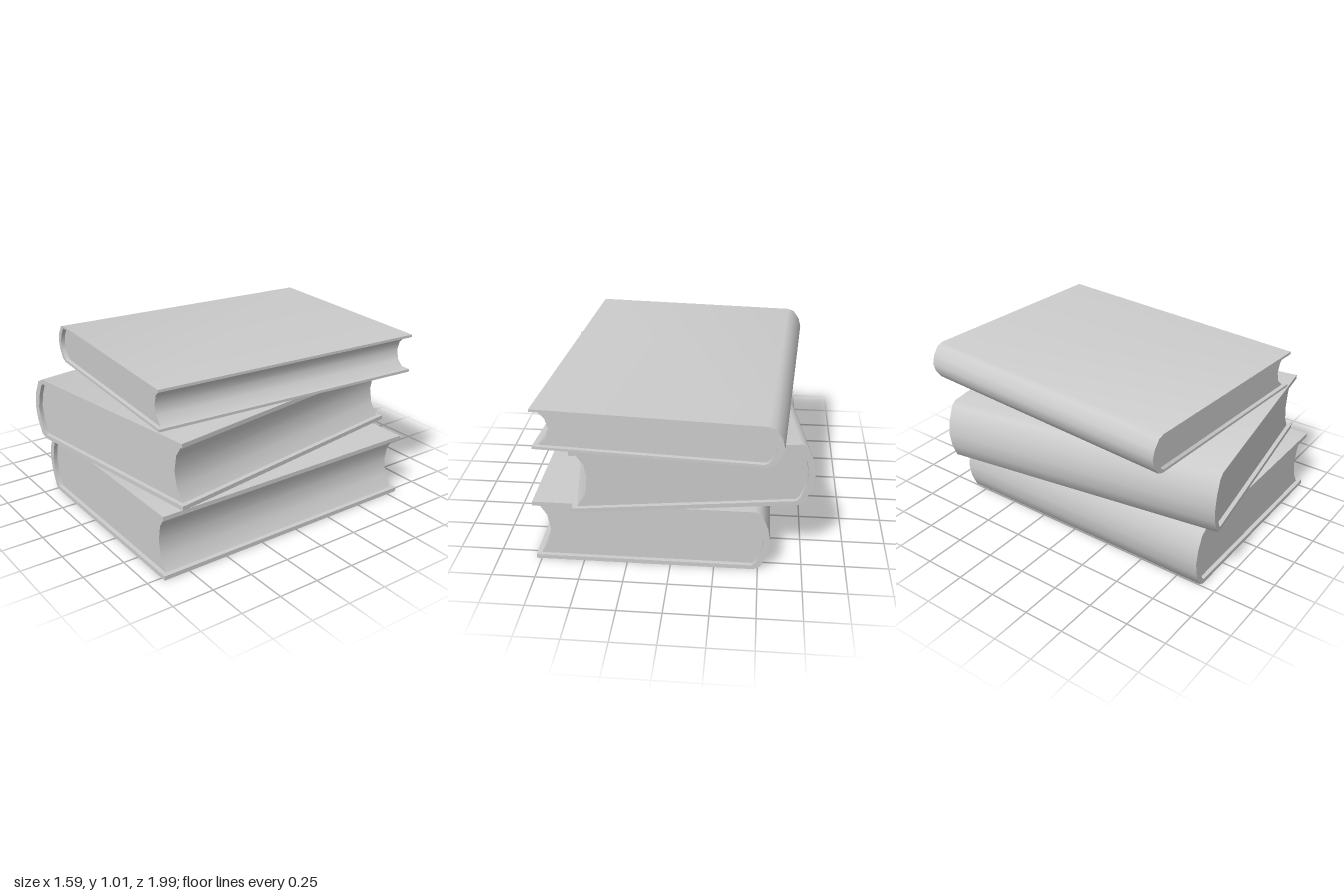
import * as THREE from 'three';
import { toCreasedNormals } from 'three/addons/utils/BufferGeometryUtils.js';

const HALF_WIDTH = 0.6725, BOOK_HEIGHT = 0.387;

// Upper halves of the curves, as [x, height above the book's mid plane]
const spineOuter = [[-0.585, 0.1935], [-0.622, 0.172], [-0.658, 0.088], [-0.6725, 0]];
const spineInner = [[-0.575, 0.168], [-0.594, 0.148], [-0.622, 0.078], [-0.636, 0]];
const foreEdge = [[0.645, 0.168], [0.598, 0.093], [0.582, 0]];

// Mirror a half curve downwards, giving the full curve from top to bottom
const fullCurve = (half) => [...half, ...half.slice(0, -1).reverse().map(([x, y]) => [x, -y])];

// Extrude an outline, centred on z, smooth along its curves
function extrude(points, depth) {
  const shape = new THREE.Shape(points.map(([x, y]) => new THREE.Vector2(x, y)));
  const geometry = new THREE.ExtrudeGeometry(shape, { depth, bevelEnabled: false });
  geometry.translate(0, 0, -depth / 2);
  return geometry;
}

function createBook(name, { x, z, bottom, height, depth, turn }) {
  const book = new THREE.Group();
  book.name = name;
  const material = new THREE.MeshStandardMaterial({ color: 0xcccccc });
  const add = (part, outline, length) => {
    const geometry = extrude(outline, length);
    geometry.scale(1, height / BOOK_HEIGHT, 1);
    const mesh = new THREE.Mesh(toCreasedNormals(geometry, 0.8), material);
    mesh.name = part;
    book.add(mesh);
  };

  // Two boards joined by a rounded spine
  add('cover', [
    [HALF_WIDTH, 0.1935], ...fullCurve(spineOuter), [HALF_WIDTH, -0.1935],
    [HALF_WIDTH, -0.168], ...fullCurve(spineInner).reverse(), [HALF_WIDTH, 0.168],
  ], depth);

  // Page block with a hollow fore edge, set back from the cover ends
  add('pages', [...fullCurve(spineInner), ...fullCurve(foreEdge).reverse()], depth - 0.05);

  book.position.set(x, bottom + height / 2, z);
  book.rotation.y = turn;
  return book;
}

export function createModel() {
  const model = new THREE.Group();
  model.name = 'bookStack';
  model.add(
    createBook('bottomBook', { x: 0.1075, z: 0.045, bottom: 0.002, height: 0.386, depth: 1.73, turn: 0 }),
    createBook('middleBook', { x: -0.005, z: 0.04, bottom: 0.39, height: 0.385, depth: 1.725, turn: 0.15 }),
    createBook('topBook', { x: -0.002, z: -0.093, bottom: 0.778, height: 0.237, depth: 1.725, turn: -0.071 }),
  );
  return model;
}
